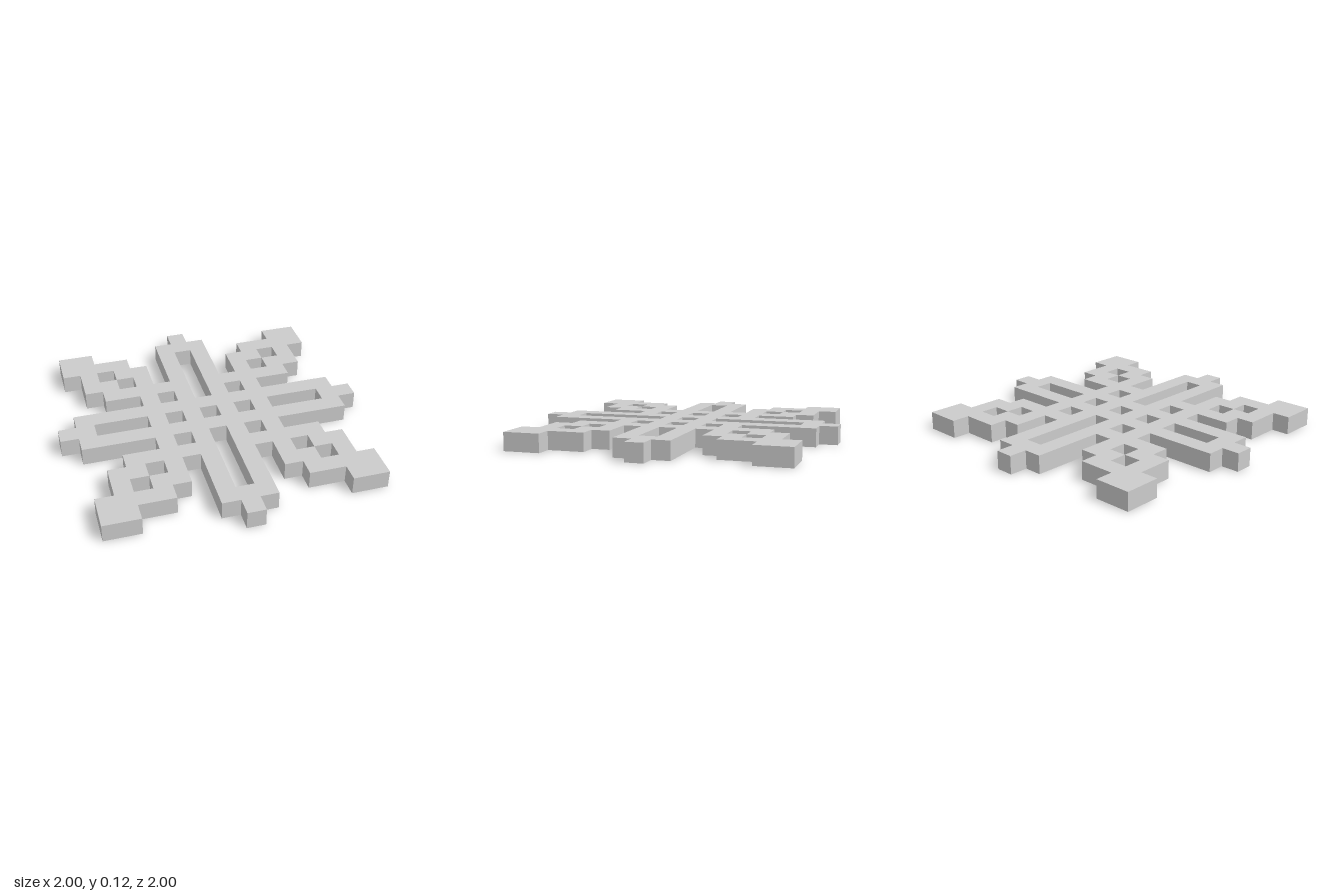
import * as THREE from 'three';

// The snowflake lies on a 17 x 17 grid of square cells and is one cell thick.
const CELL = 2 / 17;

// Edge from the tip of one straight arm to the corner of the next diagonal arm, in cells.
const EIGHTH = [
  [8.5, 0.5], [7.5, 0.5], [7.5, 1.5], [3.5, 1.5], [3.5, 2.5], [5.5, 2.5],
  [5.5, 3.5], [6.5, 3.5], [6.5, 5.5], [7.5, 5.5], [7.5, 7.5],
];

const toPoints = (list) => list.map(([x, y]) => new THREE.Vector2(x, y));

// Mirror the eighth over the diagonal, then turn the quarter four times.
function outline() {
  const mirrored = EIGHTH.slice(0, -1).reverse().map(([x, y]) => [y, x]);
  let quarter = [...EIGHTH, ...mirrored];
  const points = [];
  for (let i = 0; i < 4; i++) {
    points.push(...quarter);
    quarter = quarter.map(([x, y]) => [-y, x]);
  }
  return toPoints(points);
}

// Rectangular opening centred on (x, y), in cells.
function opening(x, y, width = 1, depth = 1) {
  const w = width / 2, d = depth / 2;
  return new THREE.Path(toPoints([
    [x - w, y - d], [x - w, y + d], [x + w, y + d], [x + w, y - d],
  ]));
}

export function createModel() {
  const shape = new THREE.Shape(outline());

  // Centre opening, long slots in the straight arms and small side openings
  shape.holes.push(opening(0, 0));
  for (const s of [-1, 1]) {
    shape.holes.push(opening(0, 4 * s, 1, 5));
    shape.holes.push(opening(5 * s, 0, 3, 1));
    shape.holes.push(opening(2 * s, 0));
    // Openings along the diagonals
    for (const t of [-1, 1]) {
      for (const k of [2, 4, 5]) shape.holes.push(opening(k * s, k * t));
    }
  }

  // Lay the plate flat on the ground
  const geometry = new THREE.ExtrudeGeometry(shape, { depth: 1, bevelEnabled: false });
  geometry.rotateX(-Math.PI / 2);
  geometry.scale(CELL, CELL, CELL);

  const material = new THREE.MeshStandardMaterial({ color: 0xcccccc, flatShading: true });
  const plate = new THREE.Mesh(geometry, material);
  plate.name = 'snowflakePlate';

  const group = new THREE.Group();
  group.name = 'snowflake';
  group.add(plate);
  return group;
}
